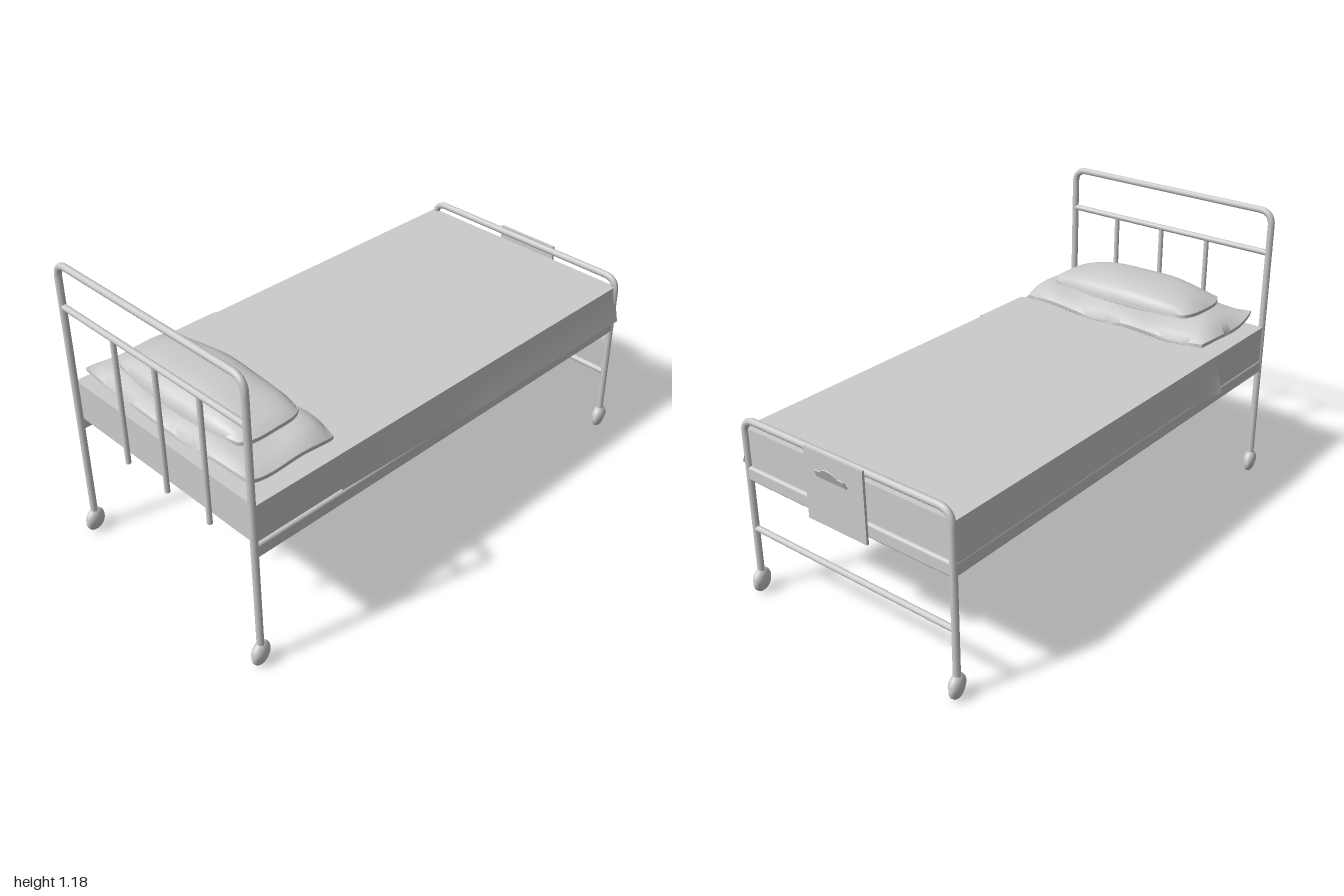
import * as THREE from 'three';
import { RoundedBoxGeometry } from 'three/addons/geometries/RoundedBoxGeometry.js';
import { toCreasedNormals } from 'three/addons/utils/BufferGeometryUtils.js';

const grey = new THREE.MeshStandardMaterial({ color: 0xcccccc });
const cloth = new THREE.MeshStandardMaterial({ color: 0xcccccc, side: THREE.DoubleSide });
const HEAD = -0.957, FOOT = 0.949, LEFT = 0.487, RIGHT = -0.472, MID = (LEFT + RIGHT) / 2;
const V = (x, y, z) => new THREE.Vector3(x, y, z);

function add(parent, name, geometry, x = 0, y = 0, z = 0, material = grey) {
  const mesh = new THREE.Mesh(geometry, material);
  mesh.name = name;
  mesh.position.set(x, y, z);
  parent.add(mesh);
  return mesh;
}

function bar(parent, name, a, b, r) {
  const mesh = add(parent, name, new THREE.CylinderGeometry(r, r, a.distanceTo(b), 12));
  mesh.position.copy(a).lerp(b, 0.5);
  mesh.quaternion.setFromUnitVectors(V(0, 1, 0), b.clone().sub(a).normalize());
}

// Two legs and a top rail bent from one tube
function hoop(parent, name, x, top) {
  const c = 0.055, path = new THREE.CurvePath();
  path.add(new THREE.LineCurve3(V(x, 0.085, LEFT), V(x, top - c, LEFT)));
  path.add(new THREE.QuadraticBezierCurve3(V(x, top - c, LEFT), V(x, top, LEFT), V(x, top, LEFT - c)));
  path.add(new THREE.LineCurve3(V(x, top, LEFT - c), V(x, top, RIGHT + c)));
  path.add(new THREE.QuadraticBezierCurve3(V(x, top, RIGHT + c), V(x, top, RIGHT), V(x, top - c, RIGHT)));
  path.add(new THREE.LineCurve3(V(x, top - c, RIGHT), V(x, 0.085, RIGHT)));
  add(parent, name, new THREE.TubeGeometry(path, 220, 0.0135, 10));
}

// Chunky wheel under a rounded hood, turned slightly on its stem
function castor(parent, x, z) {
  const group = new THREE.Group();
  group.name = 'castor';
  group.position.set(x, 0.046, z);
  group.rotation.y = 0.2;
  const profile = [[0, -0.021], [0.012, -0.021], [0.026, -0.017], [0.037, -0.012], [0.043, -0.005],
    [0.043, 0.005], [0.037, 0.012], [0.026, 0.017], [0.012, 0.021], [0, 0.021]].map(p => new THREE.Vector2(...p));
  add(group, 'wheel', new THREE.LatheGeometry(profile, 20)).rotation.x = Math.PI / 2;
  const hood = new THREE.SphereGeometry(1, 20, 8, 0, Math.PI * 2, 0, Math.PI / 2);
  add(group, 'hood', hood, 0, 0.008, 0, cloth).scale.set(0.042, 0.042, 0.026);
  parent.add(group);
}

// Cloth laid over the mattress, sides flaring out as they hang
function drape(x0, x1, lift, hem) {
  const geo = new THREE.PlaneGeometry(1, 1, 32, 5), p = geo.attributes.position;
  for (let i = 0; i < p.count; i++) {
    const x = x0 + (x1 - x0) * (p.getX(i) + 0.5);
    const row = Math.round((0.5 - p.getY(i)) * 5);
    const t = (x + 0.58) / 1.53;
    const back = -0.488 - 0.026 * Math.max(0, 1 - t * 10);
    const front = 0.494 + 0.022 * Math.min(1, t * 2);
    const section = [[back, hem], [-0.486, 0.63], [-0.483, 0.682], [0.489, 0.682], [0.493, 0.63], [front, hem]];
    const [z, y] = section[row];
    p.setXYZ(i, x, y + (row === 2 || row === 3 ? lift : 0), z + Math.sign(z) * lift);
  }
  return toCreasedNormals(geo, 0.5);
}

// Cushion with a thin seam; o gives half sizes, crown, belly, bulge and ripple
function pillow(o) {
  const geo = new THREE.BoxGeometry(2, 2, 2, 16, 1, 28), p = geo.attributes.position;
  for (let i = 0; i < p.count; i++) {
    const u = p.getX(i), v = p.getZ(i), side = p.getY(i);
    const puff = Math.pow(1 - Math.abs(u) ** 2.6, 0.6) * Math.pow(1 - Math.abs(v) ** o.power, 0.75);
    const wave = o.ripple * Math.sin(v * 7 + u * 3) * Math.max(Math.abs(u), Math.abs(v));
    p.setXYZ(i,
      u * (o.x - o.bulge * v * v + wave * 0.6),
      side * 0.007 + wave + (side > 0 ? o.crown : -o.belly) * puff,
      v * (o.z - o.round * u ** 4));
  }
  geo.deleteAttribute('uv');
  return toCreasedNormals(geo, 0.9);
}

export function createModel() {
  const bed = new THREE.Group();
  bed.name = 'hospitalBed';

  // Headboard
  const head = new THREE.Group();
  head.name = 'headboard';
  hoop(head, 'headHoop', HEAD, 1.165);
  bar(head, 'headRail', V(HEAD, 0.995, LEFT), V(HEAD, 0.995, RIGHT), 0.012);
  for (const z of [0.262, 0.036, -0.185])
    bar(head, 'spindle', V(HEAD, 0.48, z), V(HEAD, 0.995, z), 0.01);
  bed.add(head);

  // Footboard
  const foot = new THREE.Group();
  foot.name = 'footboard';
  hoop(foot, 'footHoop', FOOT, 0.717);
  bar(foot, 'footRail', V(FOOT, 0.273, LEFT), V(FOOT, 0.273, RIGHT), 0.012);
  bed.add(foot);

  for (const x of [HEAD, FOOT]) for (const z of [LEFT, RIGHT]) castor(bed, x, z);

  // Side rails and foot rail hanging below the mattress
  const length = FOOT - HEAD, centre = (FOOT + HEAD) / 2;
  for (const z of [LEFT, RIGHT])
    add(bed, 'sideRail', new RoundedBoxGeometry(length, 0.057, 0.024, 3, 0.011), centre, 0.503, z);
  add(bed, 'endRail', new RoundedBoxGeometry(0.022, 0.057, LEFT - RIGHT, 3, 0.01), FOOT, 0.503, MID);

  // Mattress and bedding
  add(bed, 'mattress', new THREE.BoxGeometry(1.893, 0.158, 0.966), 0, 0.599, 0.003);
  add(bed, 'blanket', drape(-0.58, 0.95, 0, 0.532), 0, 0, 0, cloth);
  add(bed, 'foldedSheet', drape(-0.58, -0.31, 0.003, 0.54), 0, 0, 0, cloth);

  // Pillows
  const lower = pillow({ x: 0.204, z: 0.447, crown: 0.04, belly: 0.032, bulge: 0.018, round: 0.015, power: 8, ripple: 0.009 });
  add(bed, 'lowerPillow', lower, -0.738, 0.724, 0).rotation.z = -0.06;
  const upper = pillow({ x: 0.162, z: 0.342, crown: 0.062, belly: 0.022, bulge: 0.03, round: 0.03, power: 2.4, ripple: 0.002 });
  add(bed, 'upperPillow', upper, -0.736, 0.789, 0.008);

  // Chart board with its clip
  const chart = new THREE.Group();
  chart.name = 'chart';
  add(chart, 'board', new THREE.BoxGeometry(0.01, 0.277, 0.275), 0.966, 0.592, 0.025);
  const clip = new THREE.Shape();
  clip.moveTo(-0.07, 0);
  clip.lineTo(0.07, 0);
  clip.lineTo(0.07, 0.032);
  clip.lineTo(0.04, 0.034);
  clip.quadraticCurveTo(0.02, 0.058, 0, 0.058);
  clip.quadraticCurveTo(-0.02, 0.058, -0.04, 0.034);
  clip.lineTo(-0.07, 0.032);
  const clipGeo = new THREE.ExtrudeGeometry(clip, { depth: 0.004, bevelEnabled: false, curveSegments: 8 });
  clipGeo.rotateX(0.4).rotateY(Math.PI / 2);
  add(chart, 'clip', clipGeo, 0.971, 0.64, 0.03);
  bar(chart, 'clipSpring', V(0.974, 0.656, -0.02), V(0.974, 0.656, 0.08), 0.006);
  bed.add(chart);

  return bed;
}
